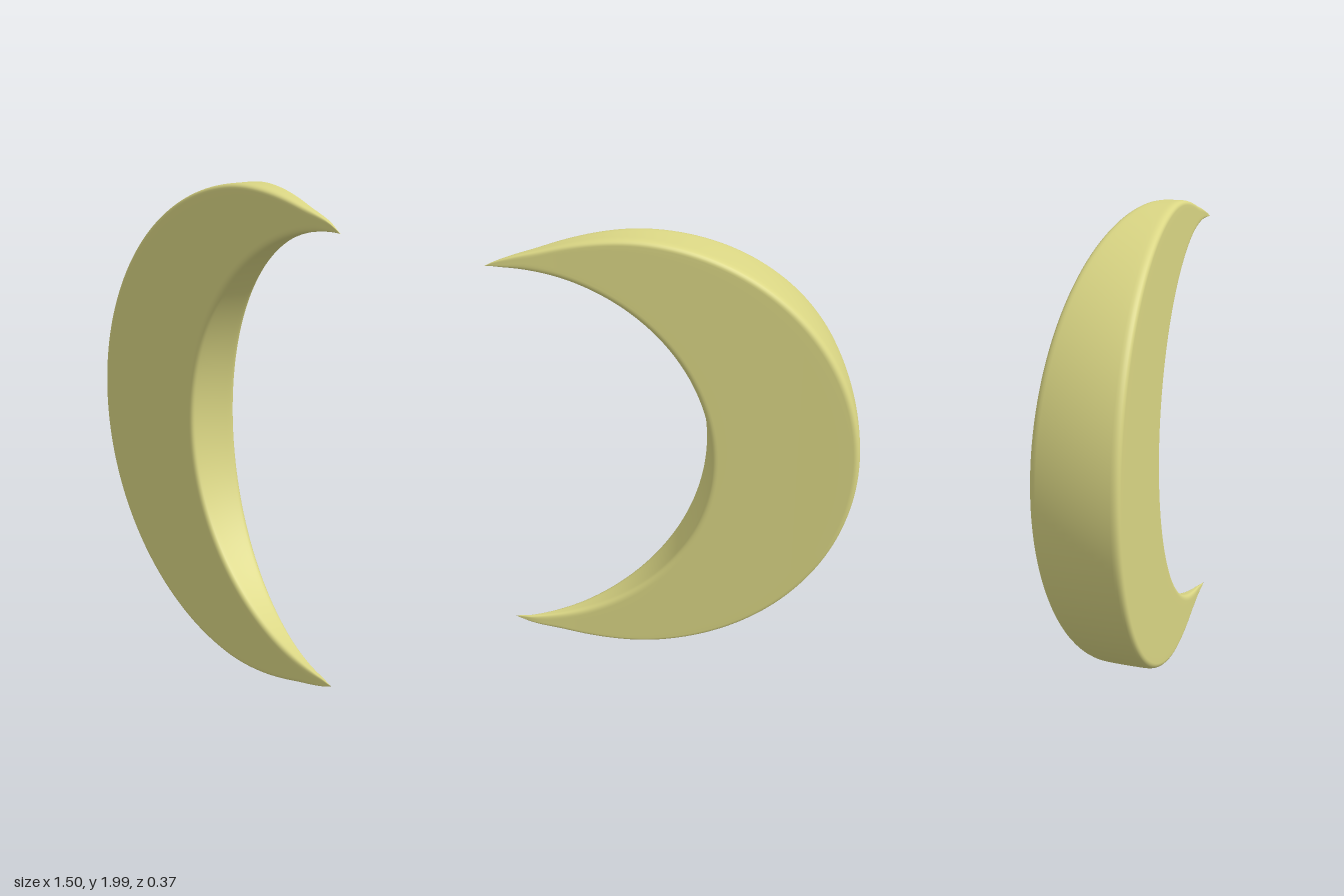
import * as THREE from 'three';

const FRONT = 0.178;
const smooth = THREE.MathUtils.smoothstep;

// Unit rounded cross-section: u runs outer to inner rim, v runs front to back.
function sectionLoop(width, depth) {
  const ru = Math.min(0.028 / Math.max(width, 1e-4), 0.3);
  const rv = Math.min(0.028 / Math.max(depth, 1e-4), 0.3);
  const corners = [[0, 0], [1, 0], [1, 1], [0, 1]];
  const points = [];
  corners.forEach(([u, v], k) => {
    const [pu, pv] = corners[(k + 3) % 4];
    const [nu, nv] = corners[(k + 1) % 4];
    const start = [u + (pu - u) * ru, v + (pv - v) * rv];
    const end = [u + (nu - u) * ru, v + (nv - v) * rv];
    // rounded corner
    for (let i = 0; i <= 6; i++) {
      const t = i / 6, a = (1 - t) ** 2, b = 2 * t * (1 - t), c = t * t;
      points.push([a * start[0] + b * u + c * end[0], a * start[1] + b * v + c * end[1]]);
    }
    // side up to the next corner
    const next = [nu + (u - nu) * ru, nv + (v - nv) * rv];
    for (let i = 1; i < 8; i++) {
      const t = i / 8;
      points.push([end[0] + (next[0] - end[0]) * t, end[1] + (next[1] - end[1]) * t]);
    }
  });
  return points;
}

// Crescent swept from the lower tip to the upper tip, thinning towards both.
function crescentGeometry(steps = 128) {
  const positions = [], index = [];
  let count = 0;
  for (let i = 0; i <= steps; i++) {
    const s = (i / steps) * 2 - 1, e = Math.abs(s);
    const a = s * Math.PI * 2 / 3, b = s * Math.PI / 2;
    // outer rim, flaring a little at the tips
    const r = 1 - 0.011 * smooth(e, 0.68, 0.88) + 0.021 * smooth(e, 0.88, 1);
    const ox = 0.25 - r * Math.cos(a), oy = 1 + r * Math.sin(a);
    // inner rim
    const ix = 0.75 - 0.87 * Math.cos(b), iy = 1 + 0.876 * Math.sin(b);
    const depthAt = x => 0.247 * Math.max(0, 0.75 - x);
    const loop = sectionLoop(Math.hypot(ix - ox, iy - oy), depthAt((ox + ix) / 2));
    count = loop.length;
    for (const [u, v] of loop) {
      const x = ox + (ix - ox) * u, y = oy + (iy - oy) * u;
      const d = depthAt(x) * v;
      // the walls bend towards +x at the back
      positions.push(x + 0.43 * d * d, y, FRONT - d + 0.008 * smooth(e, 0.95, 1));
    }
  }
  for (let i = 0; i < steps; i++) {
    for (let j = 0; j < count; j++) {
      const k = (j + 1) % count;
      const p = i * count + j, q = i * count + k;
      index.push(p, q, q + count, p, q + count, p + count);
    }
  }
  const geometry = new THREE.BufferGeometry();
  geometry.setAttribute('position', new THREE.Float32BufferAttribute(positions, 3));
  geometry.setIndex(index);
  geometry.computeVertexNormals();
  return geometry;
}

export function createModel() {
  const group = new THREE.Group();
  group.name = 'crescentMoon';
  const paleYellow = new THREE.MeshStandardMaterial({ color: 0xdad684 });
  paleYellow.name = 'paleYellow';
  const crescent = new THREE.Mesh(crescentGeometry(), paleYellow);
  crescent.name = 'crescent';
  group.add(crescent);
  return group;
}
